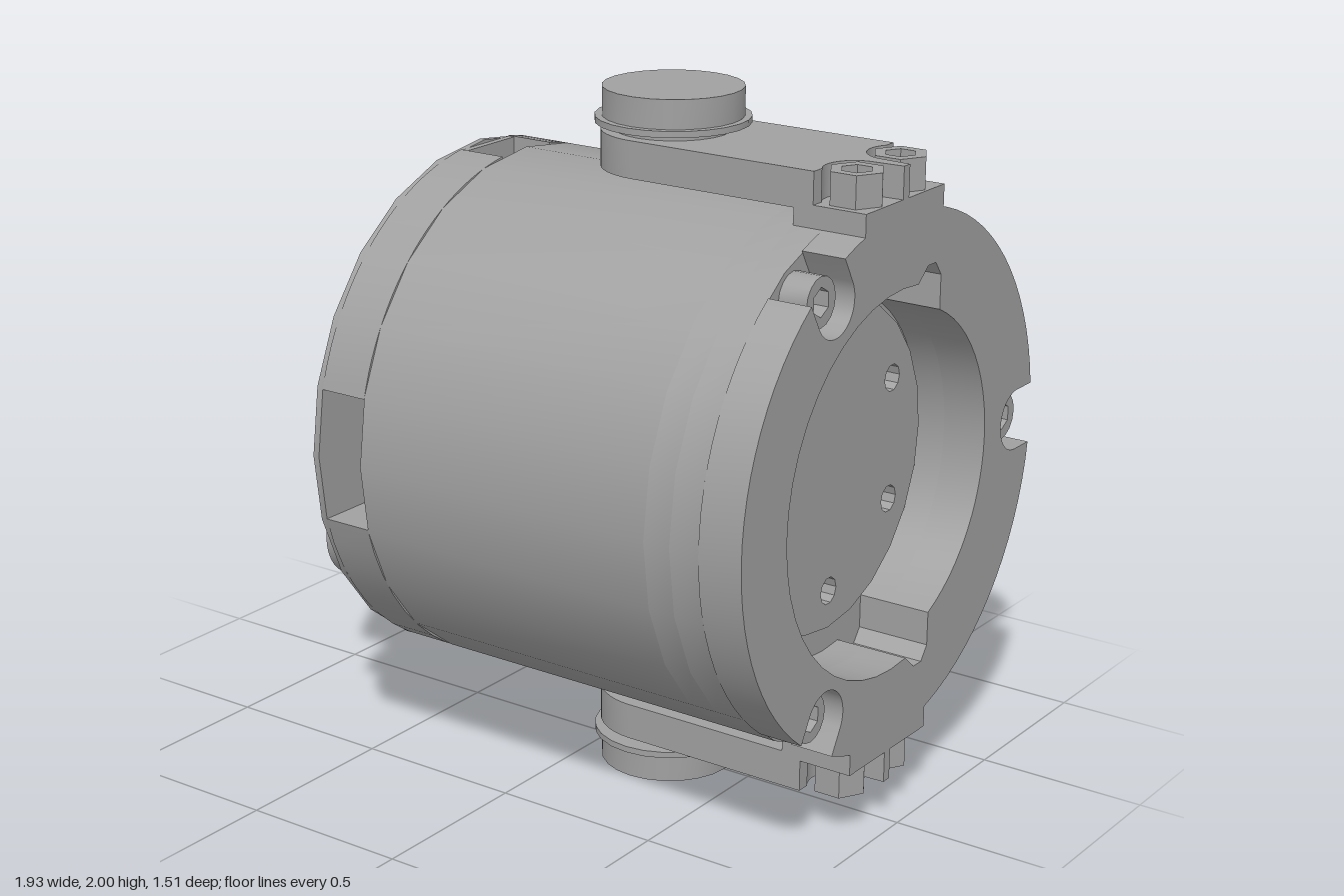
import * as THREE from 'three';
import { toCreasedNormals } from 'three/addons/utils/BufferGeometryUtils.js';

const R = 0.755, PI = Math.PI;
const gray = new THREE.MeshStandardMaterial({ color: 0xa0a0a0 });
gray.name = 'grey metal';

function part(parent, name, geo) {
  const m = new THREE.Mesh(toCreasedNormals(geo, 0.5), gray);
  m.name = name;
  parent.add(m);
  return m;
}
const extrude = (shape, depth) =>
  new THREE.ExtrudeGeometry(shape, { depth, bevelEnabled: false, curveSegments: 12 });
// Cross-section in the (-z, y) plane, extruded along x
const slab = (shape, x0, x1) => extrude(shape, x1 - x0).rotateY(PI / 2).translate(x0, 0, 0);
// Plan in the (x, -z) plane, extruded upwards
const plate = (shape, y0, y1) => extrude(shape, y1 - y0).rotateX(-PI / 2).translate(0, y0, 0);
const box = (x0, x1, y0, y1, z0, z1) => new THREE.BoxGeometry(x1 - x0, y1 - y0, z1 - z0)
  .translate((x0 + x1) / 2, (y0 + y1) / 2, (z0 + z1) / 2);
const drum = (r, y0, y1) => new THREE.CylinderGeometry(r, r, y1 - y0, 24).translate(0, (y0 + y1) / 2, 0);

function ngon(r, sides, x = 0, y = 0) {
  const pts = [];
  for (let i = 0; i < sides; i++) {
    const a = i / sides * PI * 2;
    pts.push(new THREE.Vector2(x + r * Math.cos(a), y + r * Math.sin(a)));
  }
  return new THREE.Shape(pts);
}
function disc(r, holes = []) {
  const s = ngon(r, 24);
  s.holes.push(...holes);
  return s;
}

// Bolt head with a hexagonal socket, pointing along +y of its group
function bolt(parent, name, r, sides, height) {
  const g = new THREE.Group();
  g.name = name;
  const s = ngon(r, sides);
  s.holes.push(ngon(r * 0.58, 6));
  part(g, 'boltHead', plate(s, 0, height));
  part(g, 'boltSocketFloor', plate(ngon(r * 0.7, 6), 0, height * 0.4));
  parent.add(g);
  return g;
}

// Rounded recess with two small relief corners
function opening() {
  const s = new THREE.Path();
  s.absarc(0, 0, 0.485, -1.145, 1.145);
  s.lineTo(0.2, 0.54); s.lineTo(0.17, 0.58); s.lineTo(0.13, 0.58);
  s.absarc(0, 0, 0.545, 1.42, 2 * PI - 1.42);
  s.lineTo(0.13, -0.58); s.lineTo(0.17, -0.58); s.lineTo(0.2, -0.54);
  return s;
}

// Circle with three bolt pockets open to the rim
const boltAngles = [0, 2 * PI / 3, 4 * PI / 3];
function notchedRim() {
  const s = new THREE.Shape(), w = 0.09, d = Math.asin(w / R);
  for (const t of boltAngles) {
    s.absarc(0.67 * Math.cos(t), 0.67 * Math.sin(t), w, t - PI / 2, t + PI / 2, true);
    s.absarc(0, 0, R, t + d, t + 2 * PI / 3 - d);
  }
  s.holes.push(opening());
  return s;
}

function buildBody(root) {
  const body = new THREE.Group();
  body.name = 'body';
  root.add(body);

  // End cap with two small holes
  const capHoles = () => [ngon(0.04, 10, -0.35, 0.3), ngon(0.04, 10, 0.35, 0.3)];
  part(body, 'endCap', slab(disc(R, capHoles()), -0.46, -0.44));

  // Slotted section: cross channel through z, pocket from the top
  const a = Math.asin(0.19 / R), b = Math.acos(0.11 / R);
  for (const side of [0, 1]) {
    const s = new THREE.Shape();
    if (side === 0) {
      s.absarc(0, 0, R, a, b);
      s.lineTo(0.11, 0.19);
    } else {
      s.absarc(0, 0, R, PI - b, PI - a);
      s.lineTo(-0.11, 0.19);
    }
    s.holes.push(capHoles()[1 - side]);
    part(body, 'upperSlotWall', slab(s, -0.44, -0.29));
  }
  const lower = new THREE.Shape();
  lower.absarc(0, 0, R, PI + a, 2 * PI - a);
  part(body, 'lowerSlotWall', slab(lower, -0.44, -0.29));
  part(body, 'slotLip', box(-0.44, -0.42, 0.19, 0.745, -0.11, 0.11));

  // Solid barrel, then the recess floor with six holes
  const floorHoles = () => [0, 1, 2, 3, 4, 5].map(i => {
    const t = PI / 6 + i * PI / 3;
    return ngon(0.04, 10, 0.36 * Math.cos(t), 0.36 * Math.sin(t));
  });
  part(body, 'barrel', slab(disc(R), -0.29, 0.66));
  part(body, 'recessFloor', slab(disc(R, floorHoles()), 0.66, 0.74));
  part(body, 'floorPlate', slab(disc(0.47, floorHoles()), 0.74, 0.755));
  part(body, 'recessWall', slab(disc(R, [opening()]), 0.74, 0.83));
  part(body, 'notchedRim', slab(notchedRim(), 0.83, 0.96));

  for (const t of boltAngles) {
    const g = bolt(body, 'rimBolt', 0.07, 16, 0.085);
    g.rotation.z = -PI / 2;
    g.position.set(0.83, 0.67 * Math.sin(t), -0.67 * Math.cos(t));
  }
}

// Mounting arm with round knob and two bolts
function buildArm(root, name) {
  const arm = new THREE.Group();
  arm.name = name;
  const s = new THREE.Shape();
  s.absarc(0.22, 0, 0.2, PI / 2, 3 * PI / 2);
  s.lineTo(0.8, -0.2);
  s.absarc(0.875, -0.11, 0.09, PI + 0.6, PI / 2, true);
  s.lineTo(0.96, -0.015);
  s.lineTo(0.96, 0.015);
  s.absarc(0.875, 0.11, 0.09, 3 * PI / 2, PI - 0.6, true);
  s.lineTo(0.8, 0.2);
  part(arm, 'armPlate', plate(s, 0.775, 0.88));
  part(arm, 'armFoot', box(0.74, 0.96, 0.69, 0.79, -0.2, 0.2));
  for (const z of [-0.11, 0.11]) {
    bolt(arm, 'armBolt', 0.078, 6, 0.09).position.set(0.875, 0.79, z);
  }
  const knob = new THREE.Group();
  knob.name = 'knob';
  knob.position.x = 0.22;
  part(knob, 'knobNeck', drum(0.165, 0.87, 0.905));
  part(knob, 'knobFlange', drum(0.217, 0.9, 0.918));
  part(knob, 'knobCap', drum(0.197, 0.918, 1));
  arm.add(knob);
  root.add(arm);
  return arm;
}

function buildHandle(root) {
  const handle = new THREE.Group();
  handle.name = 'handle';
  handle.position.y = -0.375;
  root.add(handle);

  // Rounded crossbar with bolt wells
  const s = new THREE.Shape(), c = 0.345, r = 0.147;
  s.absarc(c, 0, r, -PI / 2, PI / 2);
  s.absarc(-c, 0, r, PI / 2, 3 * PI / 2);
  const solid = s.clone();
  for (const u of [-c, c]) s.holes.push(ngon(0.09, 16, u, 0));
  part(handle, 'crossbar', slab(s, -0.66, -0.54));
  part(handle, 'crossbarBase', slab(solid, -0.54, -0.46));
  for (const z of [-c, c]) {
    const g = bolt(handle, 'handleBolt', 0.07, 16, 0.09);
    g.rotation.z = PI / 2;
    g.position.set(-0.54, 0, z);
  }

  // Grip block with chamfered outer end
  const geo = new THREE.BoxGeometry(0.51, 0.425, 0.26, 2, 1, 1);
  const p = geo.attributes.position;
  for (let i = 0; i < p.count; i++) {
    if (Math.abs(p.getX(i)) < 0.01) p.setX(i, -0.215);
    else if (p.getX(i) < 0) {
      p.setZ(i, p.getZ(i) * 0.72);
      if (p.getY(i) > 0) p.setY(i, p.getY(i) - 0.04);
    }
  }
  part(handle, 'gripBlock', geo.translate(-0.715, -0.06, 0));
}

export function createModel() {
  const root = new THREE.Group();
  root.name = 'cylindricalHousing';
  root.position.y = 1;
  buildBody(root);
  buildArm(root, 'topArm');
  buildArm(root, 'bottomArm').rotation.x = PI;
  buildHandle(root);
  const model = new THREE.Group();
  model.add(root);
  return model;
}
